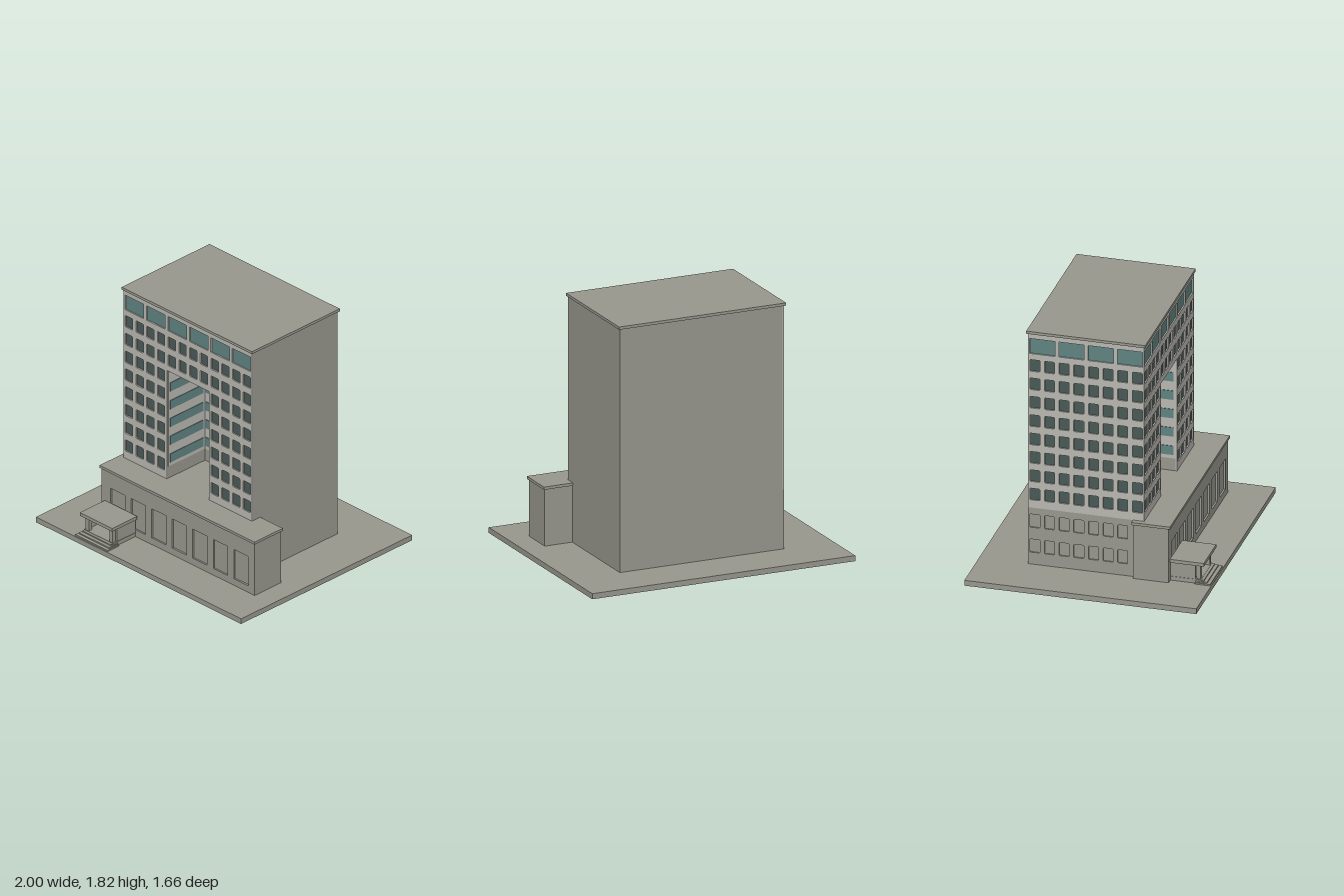
import * as THREE from 'three';

const concrete = new THREE.MeshStandardMaterial({ name: 'concrete', color: 0x98988e });
const plaster = new THREE.MeshStandardMaterial({ name: 'plaster', color: 0xb9b8b1 });
const darkGlass = new THREE.MeshStandardMaterial({ name: 'darkGlass', color: 0x4a5a57 });
const tealGlass = new THREE.MeshStandardMaterial({ name: 'tealGlass', color: 0x5f8381 });

// Box given by its min and max corners
function block(parent, name, mat, x0, x1, y0, y1, z0, z1) {
  const mesh = new THREE.Mesh(new THREE.BoxGeometry(x1 - x0, y1 - y0, z1 - z0), mat);
  mesh.position.set((x0 + x1) / 2, (y0 + y1) / 2, (z0 + z1) / 2);
  mesh.name = name;
  parent.add(mesh);
  return mesh;
}

// Outline of an opening with slightly cut corners, centred on (x, y)
function opening(x, y, w, h, c = 0.005) {
  const a = w / 2, b = h / 2;
  return [
    [-a + c, -b], [a - c, -b], [a, -b + c], [a, b - c],
    [a - c, b], [-a + c, b], [-a, b - c], [-a, -b + c],
  ].map(([px, py]) => new THREE.Vector2(x + px, y + py));
}

// Thin wall sheet with holes and recessed panes; panes is a list of [material, outlines]
function facade(name, outline, wallMat, panes, depth = 0.012) {
  const group = new THREE.Group();
  group.name = name;
  const shape = new THREE.Shape(outline.map(([x, y]) => new THREE.Vector2(x, y)));
  for (const [, outlines] of panes) for (const o of outlines) shape.holes.push(new THREE.Path(o));
  const wall = new THREE.Mesh(new THREE.ExtrudeGeometry(shape, { depth, bevelEnabled: false }), wallMat);
  wall.name = name + 'Wall';
  group.add(wall);
  for (const [mat, outlines] of panes) {
    const glass = new THREE.Mesh(new THREE.ShapeGeometry(outlines.map(o => new THREE.Shape(o))), mat);
    glass.name = name + 'Panes';
    glass.position.z = 0.002;
    group.add(glass);
  }
  return group;
}

const rect = (x0, x1, y0, y1) => [[x0, y0], [x1, y0], [x1, y1], [x0, y1]];
const PITCH = 0.1045, ROWS = 8, TOP_ROW = 1.553, ROW_STEP = 0.14;

// Small window grid plus the wide top-floor windows
function windowGrid(columns, skip = () => false) {
  const small = [], wide = [];
  for (let c = 0; c < columns; c++) {
    const x = (c - (columns - 1) / 2) * PITCH;
    for (let r = 0; r < ROWS; r++) {
      const y = TOP_ROW - r * ROW_STEP;
      if (!skip(x, y)) small.push(opening(x, y, 0.072, 0.088));
    }
    if (c % 2 === 0) wide.push(opening(x + PITCH / 2, 1.7, 0.181, 0.114, 0.002));
  }
  return [[darkGlass, small], [tealGlass, wide]];
}

function buildTower() {
  const tower = new THREE.Group();
  tower.name = 'tower';

  // Core with the courtyard cut into its front half
  const plan = new THREE.Shape(rect(-0.613, 0.625, 0.04, 1.795).map(p => new THREE.Vector2(...p)));
  plan.holes.push(new THREE.Path(rect(-0.205, 0.205, 0.47, 1.325).map(p => new THREE.Vector2(...p))));
  const front = new THREE.Mesh(new THREE.ExtrudeGeometry(plan, { depth: 0.358, bevelEnabled: false }), concrete);
  front.position.z = -0.02;
  front.name = 'frontCore';
  tower.add(front);
  block(tower, 'backCore', concrete, -0.613, 0.625, 0.04, 1.795, -0.48, -0.02);
  block(tower, 'roofSlab', concrete, -0.635, 0.635, 1.795, 1.815, -0.49, 0.36);

  // Front facade, notched around the courtyard
  const outline = [
    [-0.625, 0.45], [-0.205, 0.45], [-0.205, 1.325], [0.205, 1.325],
    [0.205, 0.45], [0.625, 0.45], [0.625, 1.795], [-0.625, 1.795],
  ];
  const frontFacade = facade('frontFacade', outline, plaster,
    windowGrid(12, (x, y) => Math.abs(x) < 0.21 && y < 1.325));
  frontFacade.position.z = 0.338;
  tower.add(frontFacade);

  // Windowed side facade: plaster above, concrete below
  const side = new THREE.Group();
  side.name = 'sideFacade';
  side.add(facade('upperSide', rect(-0.415, 0.403, 0.47, 1.795), plaster, windowGrid(8)));
  const low = [];
  for (let c = 0; c < 7; c++)
    for (const y of [0.37, 0.18]) low.push(opening((c - 3.5) * PITCH, y, 0.072, 0.1));
  side.add(facade('lowerSide', rect(-0.415, 0.403, 0.04, 0.47), concrete, [[concrete, low]]));
  side.rotation.y = -Math.PI / 2;
  side.position.set(-0.613, 0, -0.065);
  tower.add(side);

  // Courtyard lining with glass bands
  block(tower, 'courtyardBackWall', plaster, -0.205, 0.205, 0.565, 1.325, -0.02, -0.015);
  for (const s of [-1, 1])
    block(tower, 'courtyardSideWall', plaster, s * 0.2025 - 0.0025, s * 0.2025 + 0.0025, 0.565, 1.325, -0.015, 0.338);
  for (let i = 0; i < 5; i++) {
    const y = 0.592 + i * ROW_STEP;
    block(tower, 'backGlassBand', tealGlass, -0.19, 0.187, y, y + 0.068, -0.017, -0.011);
    for (const s of [-1, 1])
      block(tower, 'sideGlassBand', tealGlass, s * 0.199 - 0.003, s * 0.199 + 0.003, y, y + 0.068, 0.005, 0.325);
  }
  return tower;
}

function buildPodium() {
  const podium = new THREE.Group();
  podium.name = 'podium';
  block(podium, 'podiumBody', concrete, -0.655, 0.835, 0.04, 0.45, 0.28, 0.518);
  block(podium, 'podiumCap', concrete, -0.665, 0.845, 0.45, 0.47, 0.27, 0.545);
  const bays = [];
  for (let i = 0; i < 7; i++) bays.push(opening(-0.5 + i * 0.2005, 0.207, 0.14, 0.23, 0.001));
  const wall = facade('podiumFront', rect(-0.655, 0.835, 0.04, 0.45), concrete, [[concrete, bays]], 0.015);
  wall.position.z = 0.518;
  podium.add(wall);
  return podium;
}

function buildPorch() {
  const porch = new THREE.Group();
  porch.name = 'entrancePorch';
  block(porch, 'canopy', concrete, -0.625, -0.31, 0.18, 0.205, 0.533, 0.775);
  block(porch, 'porchFloor', concrete, -0.61, -0.325, 0.04, 0.07, 0.533, 0.75);
  // Steps
  for (let i = 0; i < 3; i++)
    block(porch, 'step', concrete, -0.625 + i * 0.01, -0.31 - i * 0.01, 0.04, 0.05 + i * 0.009, 0.71, 0.82 - i * 0.025);
  // Side walls and front posts, mirrored about the porch centre
  for (const s of [-1, 1]) {
    const wx = -0.4675 + s * 0.132, px = -0.4675 + s * 0.115;
    block(porch, 'sideWall', concrete, wx - 0.008, wx + 0.008, 0.04, 0.18, 0.533, 0.71);
    block(porch, 'frontPost', concrete, px - 0.015, px + 0.015, 0.05, 0.18, 0.715, 0.745);
  }
  return porch;
}

export function createModel() {
  const model = new THREE.Group();
  model.name = 'officeBuilding';
  block(model, 'groundSlab', concrete, -1, 1, 0, 0.04, -0.828, 0.828);
  model.add(buildTower(), buildPodium(), buildPorch());
  return model;
}
